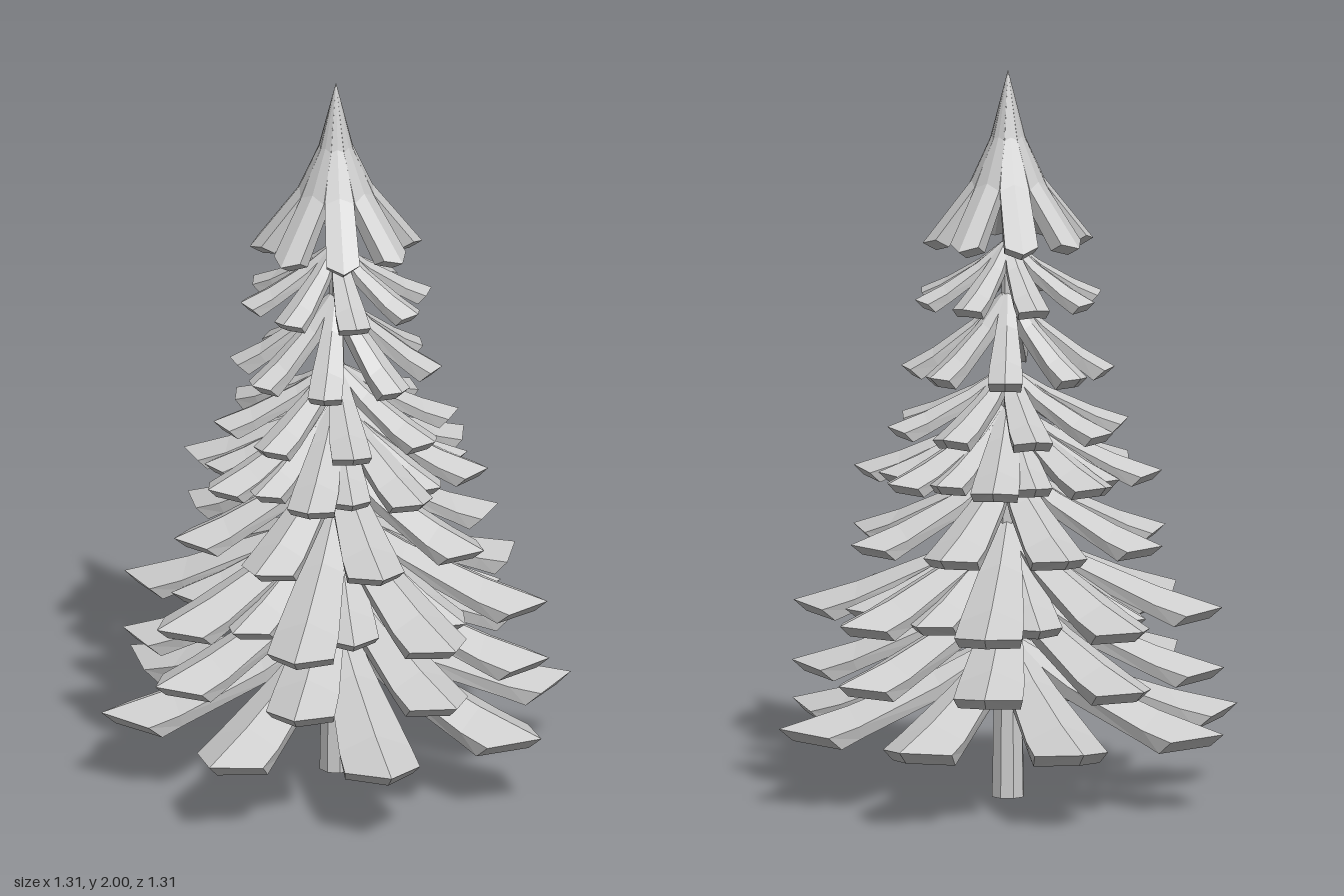
import * as THREE from 'three';

const material = new THREE.MeshStandardMaterial({ color: 0xcccccc, flatShading: true });
const { lerp, degToRad } = THREE.MathUtils;

// A folded, thick leaf pointing along +x. Each station is [radius, ridge height, half width].
// Thickness is measured square to the slope, and the end face is undercut.
// blunt (0..1) sets how far the side edges reach to the tip.
function boughGeometry(stations, thickness, blunt) {
  const last = stations.length - 1;
  const rings = stations.map(([r, y, w], i) => {
    const [ar, ay] = stations[Math.max(i - 1, 0)];
    const [br, by] = stations[Math.min(i + 1, last)];
    const slope = Math.atan2(ay - by, br - ar);
    const t = Math.min(thickness, w * 2);
    const undercut = i === last ? (1 - blunt) * 1.6 * t : 0;
    const inX = t * Math.sin(slope) + undercut, down = t * Math.cos(slope);
    const reach = i === last ? blunt : 1;
    const er = lerp(ar, r, reach);
    const ey = lerp(ay, y, reach) - 0.42 * w;
    return [
      [r, y, 0], [er, ey, w], [er - inX, ey - down, w * 0.9],
      [r - inX, y - down, 0], [er - inX, ey - down, -w * 0.9], [er, ey, -w],
    ];
  });
  const pos = [];
  const quad = (a, b, c, d) => pos.push(...a, ...b, ...c, ...a, ...c, ...d);
  for (let i = 0; i < last; i++) {
    for (let j = 0; j < 6; j++) {
      const k = (j + 1) % 6;
      quad(rings[i][j], rings[i][k], rings[i + 1][k], rings[i + 1][j]);
    }
  }
  const e = rings[last];
  quad(e[0], e[1], e[2], e[3]);
  quad(e[0], e[3], e[4], e[5]);
  const g = new THREE.BufferGeometry();
  g.setAttribute('position', new THREE.Float32BufferAttribute(pos, 3));
  g.computeVertexNormals();
  return g;
}

// Ring of eight boughs, turned by an angle in degrees
function boughRing(name, geometry, turn) {
  const ring = new THREE.Group();
  ring.name = name;
  for (let i = 0; i < 8; i++) {
    const bough = new THREE.Mesh(geometry, material);
    bough.name = 'bough';
    bough.rotation.y = -degToRad(turn + i * 45);
    ring.add(bough);
  }
  return ring;
}

export function createModel() {
  const tree = new THREE.Group();
  tree.name = 'pineTree';

  // Trunk
  const trunk = new THREE.Mesh(new THREE.CylinderGeometry(0.012, 0.046, 1.75, 8), material);
  trunk.name = 'trunk';
  trunk.position.y = 0.875;
  tree.add(trunk);

  // Tiers from the ground up: tip radius, tip height, root height, half width, thickness, bluntness, turn
  const tiers = [
    [0.655, 0.22, 0.44, 0.105, 0.036, 0.45, 1],
    [0.59, 0.365, 0.59, 0.095, 0.032, 0.5, 25.5],
    [0.585, 0.53, 0.76, 0.093, 0.032, 0.5, 25.5],
    [0.45, 0.53, 0.76, 0.075, 0.03, 0.5, 8], // shorter boughs filling between
    [0.458, 0.72, 0.92, 0.08, 0.03, 0.5, -2],
    [0.42, 0.905, 1.08, 0.066, 0.028, 0.6, 25],
    [0.36, 0.905, 1.08, 0.055, 0.028, 0.6, 7], // shorter boughs filling between
    [0.336, 1.03, 1.18, 0.055, 0.028, 0.65, 6],
    [0.29, 1.185, 1.39, 0.047, 0.032, 0.7, 21],
    [0.265, 1.38, 1.53, 0.044, 0.026, 0.7, 2],
  ];
  const along = [[0.05, 0, 0.35], [0.33, 0.38, 0.65], [0.7, 0.76, 0.95], [1, 1, 1]];
  tiers.forEach(([r, tipY, rootY, w, t, blunt, turn], i) => {
    const stations = along.map(([u, fall, wide]) => [u * r, lerp(rootY, tipY, fall), w * wide]);
    tree.add(boughRing(`boughTier${i + 1}`, boughGeometry(stations, t, blunt), turn));
  });

  // Crown: narrow boughs meeting in a sharp apex
  const crown = [[0, 2, 0], [0.045, 1.82, 0.02], [0.1, 1.7, 0.04], [0.235, 1.53, 0.046]];
  tree.add(boughRing('crown', boughGeometry(crown, 0.034, 0.8), 9));

  return tree;
}
